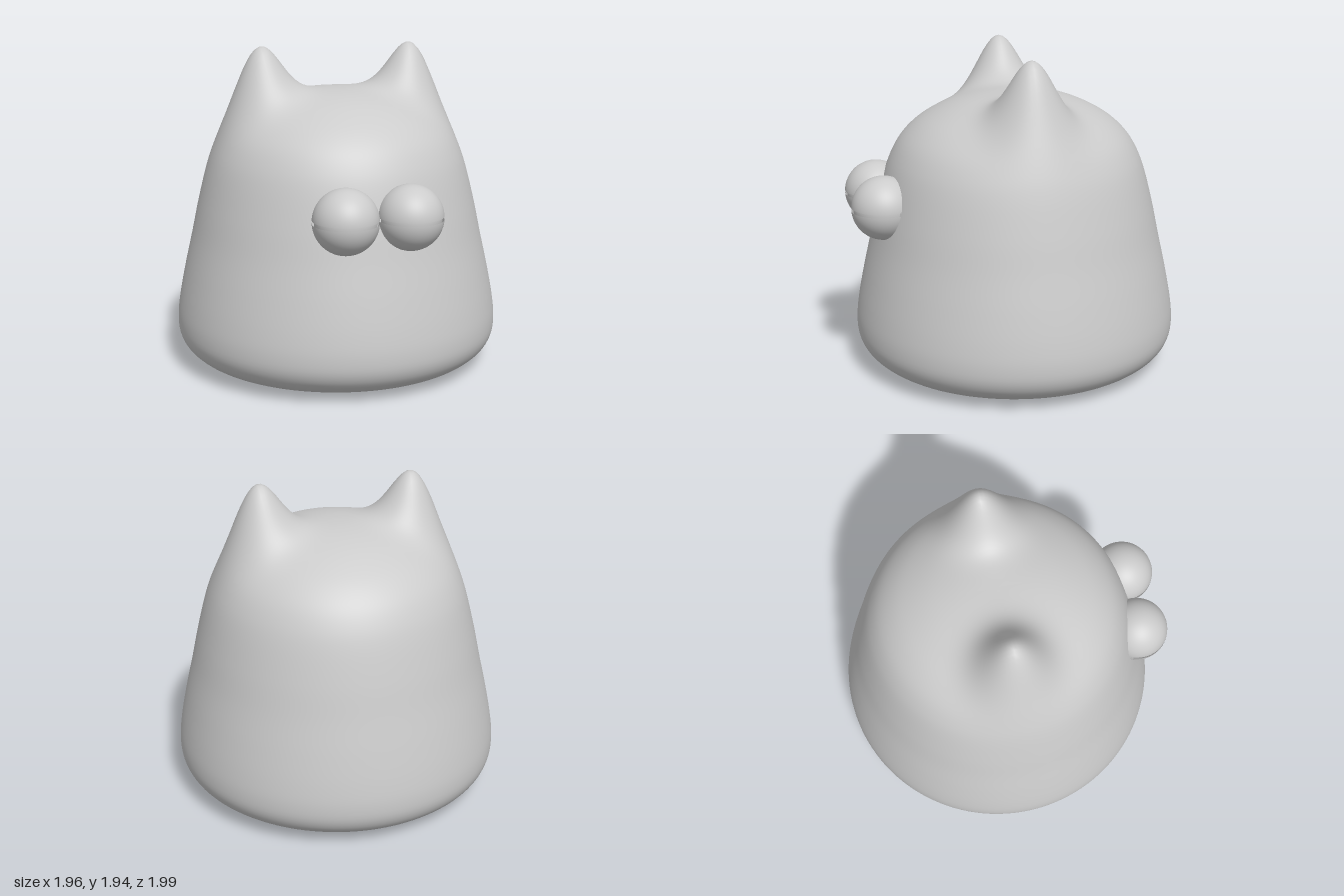
import * as THREE from 'three';
import { mergeVertices } from 'three/addons/utils/BufferGeometryUtils.js';

const grey = new THREE.MeshStandardMaterial({ color: 0xcccccc });
const shellGrey = new THREE.MeshStandardMaterial({ color: 0xcccccc, side: THREE.DoubleSide });

// Rounded bell body with two pointed ears pulled up out of the dome
function makeBody() {
  const profile = [
    [0, 0.01], [0.35, 0.012], [0.65, 0.025], [0.82, 0.05], [0.92, 0.11], [0.97, 0.19],
    [0.98, 0.29], [0.965, 0.42], [0.93, 0.6], [0.885, 0.8], [0.842, 1.0], [0.79, 1.2],
    [0.745, 1.32], [0.685, 1.42], [0.6, 1.505], [0.5, 1.57], [0.38, 1.625],
    [0.25, 1.663], [0.12, 1.684], [0, 1.69],
  ].map(([r, y]) => new THREE.Vector2(r, y));
  const points = new THREE.SplineCurve(profile).getSpacedPoints(120);
  points.forEach((p) => { p.x = Math.max(p.x, 0); });
  points[0].x = points[points.length - 1].x = 0;

  let geometry = new THREE.LatheGeometry(points, 128);
  const pos = geometry.attributes.position;
  for (let i = 0; i < pos.count; i++) {
    const x = pos.getX(i), y = pos.getY(i), z = pos.getZ(i);
    const dx = Math.abs(x) - 0.48;
    const ear = 0.36 * Math.exp(-(dx * dx + z * z) / (2 * 0.13 * 0.13));
    pos.setY(i, y + ear * THREE.MathUtils.smoothstep(y, 0.8, 1.2));
  }
  // weld the seam so the shading stays smooth all round
  geometry.deleteAttribute('normal');
  geometry.deleteAttribute('uv');
  geometry = mergeVertices(geometry, 1e-4);
  geometry.computeVertexNormals();
  const body = new THREE.Mesh(geometry, grey);
  body.name = 'body';
  body.position.z = -0.015;
  return body;
}

// Ball eye: upper lid and lower half shells with a thin groove between them
function makeEye(side) {
  const eye = new THREE.Group();
  eye.name = side > 0 ? 'leftEye' : 'rightEye';
  const radius = 0.189, gap = 0.05;
  const add = (geometry, material, name) => {
    const mesh = new THREE.Mesh(geometry, material);
    mesh.name = name;
    eye.add(mesh);
  };
  const half = Math.PI / 2;
  add(new THREE.SphereGeometry(radius, 48, 20, 0, Math.PI * 2, 0, half - gap), shellGrey, 'upperLid');
  add(new THREE.SphereGeometry(radius, 48, 20, 0, Math.PI * 2, half + gap, half - gap), shellGrey, 'lowerLid');
  add(new THREE.SphereGeometry(0.177, 48, 32), grey, 'eyeball');
  eye.position.set(side * 0.19, 1.06, 0.811);
  return eye;
}

export function createModel() {
  const model = new THREE.Group();
  model.name = 'earedCreature';
  model.add(makeBody(), makeEye(1), makeEye(-1));
  return model;
}
